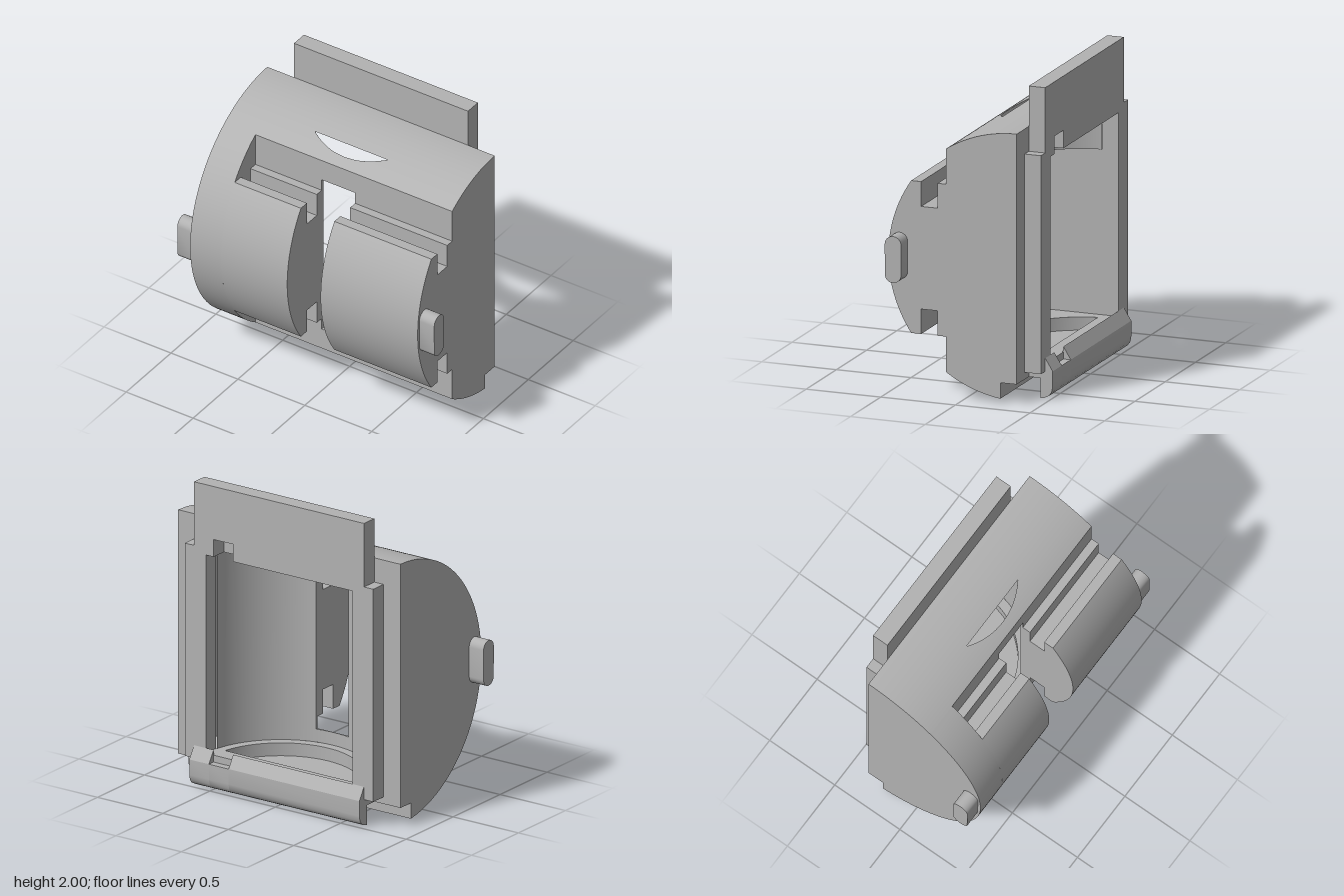
import * as THREE from 'three';
import { toCreasedNormals } from 'three/addons/utils/BufferGeometryUtils.js';

const R = 0.86, CY = 0.88, CZ = -0.35;      // outer half cylinder, axis along x
const BORE = 0.56, RECESS = 0.5, BZ = -0.44; // upright bore inside
const FLOOR = 0.225, CEIL = 1.535, TOP = 1.674, LOW = 0.14;
const W = 0.85, SLOT = 0.125, GX = -0.62;
const S0 = 0.31, S1 = 1.45;                 // slot bottom and top

const grey = new THREE.MeshStandardMaterial({ color: 0xb2b2b2, side: THREE.DoubleSide });
grey.name = 'grey';

const outerY = z => CY + Math.sqrt(R * R - (z - CZ) ** 2);
const angle = z => Math.acos((z - CZ) / R);
const boreZ = (x, r = BORE) => BZ + Math.sqrt(Math.max(0, r * r - x * x));
const flip = pts => pts.map(([z, y]) => [z, 2 * CY - y]).reverse();

// Outer arc as [z, y] points
function arc(t0, t1, n = 48) {
  return Array.from({ length: n + 1 }, (_, i) => {
    const t = t0 + (t1 - t0) * i / n;
    return [CZ + R * Math.cos(t), CY + R * Math.sin(t)];
  });
}

// Bore arc as [x, z] points
function boreArc(r, x0, x1, n = 40) {
  const a0 = Math.asin(x0 / r), a1 = Math.asin(x1 / r);
  return Array.from({ length: n + 1 }, (_, i) => {
    const a = a0 + (a1 - a0) * i / n;
    return [r * Math.sin(a), BZ + r * Math.cos(a)];
  });
}

export function createModel() {
  const model = new THREE.Group();

  function add(name, geometry) {
    const mesh = new THREE.Mesh(toCreasedNormals(geometry, 0.5), grey);
    mesh.name = name;
    model.add(mesh);
  }

  // Strip of quads between two rows of points
  function ruled(name, a, b) {
    const pos = [], index = [];
    a.forEach((p, i) => {
      pos.push(...p, ...b[i]);
      if (i) index.push(2 * i - 2, 2 * i - 1, 2 * i, 2 * i, 2 * i - 1, 2 * i + 1);
    });
    const g = new THREE.BufferGeometry();
    g.setAttribute('position', new THREE.Float32BufferAttribute(pos, 3));
    g.setIndex(index);
    add(name, g);
  }
  // Profile [z, y] swept along x; the ends may depend on z
  function sweep(name, pts, x0, x1) {
    const at = (x, z) => (typeof x === 'function' ? x(z) : x);
    ruled(name, pts.map(([z, y]) => [at(x0, z), y, z]), pts.map(([z, y]) => [at(x1, z), y, z]));
  }
  // Plan [x, z] raised from y0 to y1
  function raise(name, pts, y0, y1) {
    const at = (y, z) => (typeof y === 'function' ? y(z) : y);
    ruled(name, pts.map(([x, z]) => [x, at(y0, z), z]), pts.map(([x, z]) => [x, at(y1, z), z]));
  }
  const shapeOf = (pts, holes = []) => {
    const s = new THREE.Shape(pts.map(p => new THREE.Vector2(...p)));
    holes.forEach(h => s.holes.push(new THREE.Path(h.map(p => new THREE.Vector2(...p)))));
    return s;
  };
  // Flat face, mapped into place
  function flat(name, pts, map, holes) {
    const g = new THREE.ShapeGeometry(shapeOf(pts, holes));
    const p = g.attributes.position;
    for (let i = 0; i < p.count; i++) p.setXYZ(i, ...map(p.getX(i), p.getY(i)));
    g.computeVertexNormals();
    add(name, g);
  }
  const atX = x => (z, y) => [x, y, z];
  const atY = y => (x, z) => [x, y, z];
  const atZ = z => (x, y) => [x, y, z];
  // Solid with a [z, y] profile along x
  function solidX(name, pts, x0, x1) {
    const g = new THREE.ExtrudeGeometry(shapeOf(pts), { depth: x1 - x0, bevelEnabled: false });
    g.rotateY(-Math.PI / 2).scale(-1, 1, 1);
    const p = g.attributes.position;
    for (let i = 0; i < p.count; i++) p.setX(i, p.getX(i) + x0);
    // The mirror turns the faces over, so swap two corners of each
    const q = p.array;
    for (let i = 0; i < q.length; i += 9)
      for (let k = 0; k < 3; k++) [q[i + 3 + k], q[i + 6 + k]] = [q[i + 6 + k], q[i + 3 + k]];
    g.computeVertexNormals();
    add(name, g);
  }

  // Curved outer shell with the crescent opening near the top
  const tg = angle(0.125), tn = Math.asin(0.49 / R);
  const crescent = z => Math.sqrt(Math.max(0, RECESS ** 2 - (z - BZ) ** 2));
  sweep('upperShell', arc(Math.PI / 2, angle(-0.02), 24), -W, W);
  sweep('upperShellSide', arc(angle(-0.02), angle(0.06), 16), -W, z => -crescent(z));
  sweep('upperShellSide', arc(angle(-0.02), angle(0.06), 16), crescent, W);
  sweep('upperShellLip', arc(angle(0.06), tg, 6), -W, W);
  const lower = arc(-tg, -angle(-0.24), 32);
  const notch = [[-0.24, lower[32][1]], [-0.24, 0.13], [CZ, 0.13]];
  sweep('lowerShell', lower, -W, W);
  sweep('bottomNotch', notch, -W, W);
  sweep('shellRim', arc(tg, -tg), -W, GX);

  // Stepped grooves and the two front pads
  const step = [[0.125, 1.37], [0.18, 1.37], [0.18, 1.21], [0.29, 1.21], [0.29, 1.37]];
  const groove = [[0.125, outerY(0.125)], ...step];
  const nose = arc(tn, -tn);
  const front = [...groove, ...nose, ...flip(groove)];
  for (const [x0, x1] of [[GX, -SLOT], [SLOT, W]]) {
    sweep('frontPad', front, x0, x1);
  }
  for (const [y0, y1] of [[S1, outerY(0.125)], [2 * CY - outerY(0.125), S0]])
    sweep('grooveWall', [[0.125, y1], [0.125, y0]], -SLOT, SLOT);
  const endCut = [...groove, ...arc(tn, tg, 12)];
  flat('grooveEnd', endCut, atX(GX));
  flat('grooveEnd', flip(endCut), atX(GX));

  // Side walls
  const upper = arc(Math.PI / 2, tg, 32);
  flat('sideWall', [...upper, ...arc(tg, -tg), ...lower, ...notch], atX(-W));
  flat('sideWall', [...upper, ...front, ...lower, ...notch], atX(W));

  // Front slot
  const inner = boreZ(SLOT);
  const cheek = [[inner, S1], [0.125, S1], ...step, ...nose,
    ...flip(step), [0.125, S0], [inner, S0]];
  for (const x of [-SLOT, SLOT]) flat('slotCheek', cheek, atX(x));
  for (const y of [S0, S1])
    flat('slotEnd', [...boreArc(BORE, -SLOT, SLOT), [SLOT, 0.125], [-SLOT, 0.125]], atY(y));

  // Upright bore, with a square pocket on one side
  const edge = Math.sqrt(BORE ** 2 - (CZ - BZ) ** 2);
  const PZ = 0.06, PX = -Math.sqrt(BORE ** 2 - (PZ - BZ) ** 2), PY = 1.29;
  raise('boreWall', boreArc(BORE, SLOT, edge), FLOOR, CEIL);
  raise('boreWall', boreArc(BORE, PX, -SLOT), FLOOR, CEIL);
  raise('boreUpperWall', boreArc(BORE, -edge, PX), PY, CEIL);
  raise('boreWallOverSlot', boreArc(BORE, -SLOT, SLOT), S1, CEIL);
  raise('boreWallUnderSlot', boreArc(BORE, -SLOT, SLOT), FLOOR, S0);
  const corner = [...boreArc(BORE, -edge, PX), [-BORE, PZ], [-BORE, CZ]];
  flat('pocketCeiling', corner, atY(PY));
  flat('pocketFloor', corner, atY(FLOOR));
  raise('pocketSide', [[-BORE, CZ], [-BORE, PZ]], FLOOR, PY);
  const pin = Array.from({ length: 20 }, (_, i) =>
    [-0.5 + 0.035 * Math.cos(i * Math.PI / 10), 0.74 + 0.035 * Math.sin(i * Math.PI / 10)]);
  flat('pocketBack', [[-BORE, FLOOR], [PX, FLOOR], [PX, PY], [-BORE, PY]], atZ(PZ), [pin]);
  const ring = [...pin, pin[0]];
  ruled('pinHole', ring.map(([x, y]) => [x, y, PZ]), ring.map(([x, y]) => [x, y, PZ + 0.1]));
  flat('pinHoleEnd', pin, atZ(PZ + 0.1));

  // Round recesses above and below the bore
  const rx = Math.sqrt(RECESS ** 2 - (CZ - BZ) ** 2);
  const small = boreArc(RECESS, -rx, rx, 64);
  const ledge = [...boreArc(BORE, -edge, edge, 64), ...[...small].reverse()];
  flat('ceilingLedge', ledge, atY(CEIL));
  flat('floorLedge', ledge, atY(FLOOR));
  raise('ceilingRecess', small, CEIL, z => Math.min(TOP, outerY(z)));
  raise('floorRecess', small, LOW, FLOOR);
  const c = crescent(-0.02);
  flat('recessCeiling', [...boreArc(RECESS, -rx, -c), [c, -0.02],
    ...boreArc(RECESS, c, rx)], atY(TOP));
  flat('recessFloor', small, atY(LOW));

  // Back face and back plate with its opening
  flat('backFace', [[-W, 0.13], [W, 0.13], [W, 1.74], [-W, 1.74]], atZ(CZ),
    [[[-BORE, FLOOR], [BORE, FLOOR], [BORE, CEIL], [-BORE, CEIL]]]);
  const half = [[0.65, 0.13], [0.65, 0.175], [0.72, 0.175], [0.72, 1.58], [0.65, 1.58], [0.65, 2]];
  const plate = new THREE.ExtrudeGeometry(
    shapeOf([...half, ...half.map(([x, y]) => [-x, y]).reverse()],
      [[[-BORE, FLOOR], [BORE, FLOOR], [BORE, CEIL], [0.5, CEIL], [0.5, 1.65],
        [0.35, 1.65], [0.35, CEIL], [-BORE, CEIL]]]),
    { depth: 0.11, bevelEnabled: false });
  add('backPlate', plate.translate(0, 0, -0.46));

  // Rounded hook along the bottom, with a small gap
  const hook = [[-0.43, FLOOR], [-0.43, 0], [-0.455, 0.005], [-0.485, 0.02],
    [-0.503, 0.045], [-0.51, 0.08], [-0.51, 0.18]];
  solidX('hook', [...hook, [-0.46, 0.26], [-0.455, FLOOR]], -0.65, 0.35);
  solidX('hookGap', [...hook.slice(1), [-0.46, 0.18], [-0.43, 0.18]], 0.35, 0.5);
  solidX('hook', [...hook, [-0.46, 0.26], [-0.455, FLOOR]], 0.5, 0.65);

  // Side pegs
  const peg = [];
  for (let i = 0; i <= 24; i++) {
    const a = (i % 25) * Math.PI / 12 + (i > 12 ? -Math.PI / 12 : 0);
    peg.push([0.435 + 0.055 * Math.cos(a), CY + (i <= 12 ? 0.095 : -0.095) + 0.055 * Math.sin(a)]);
  }
  solidX('sidePeg', peg, W, 0.96);
  solidX('sidePeg', peg, -0.96, -W);

  return model;
}
